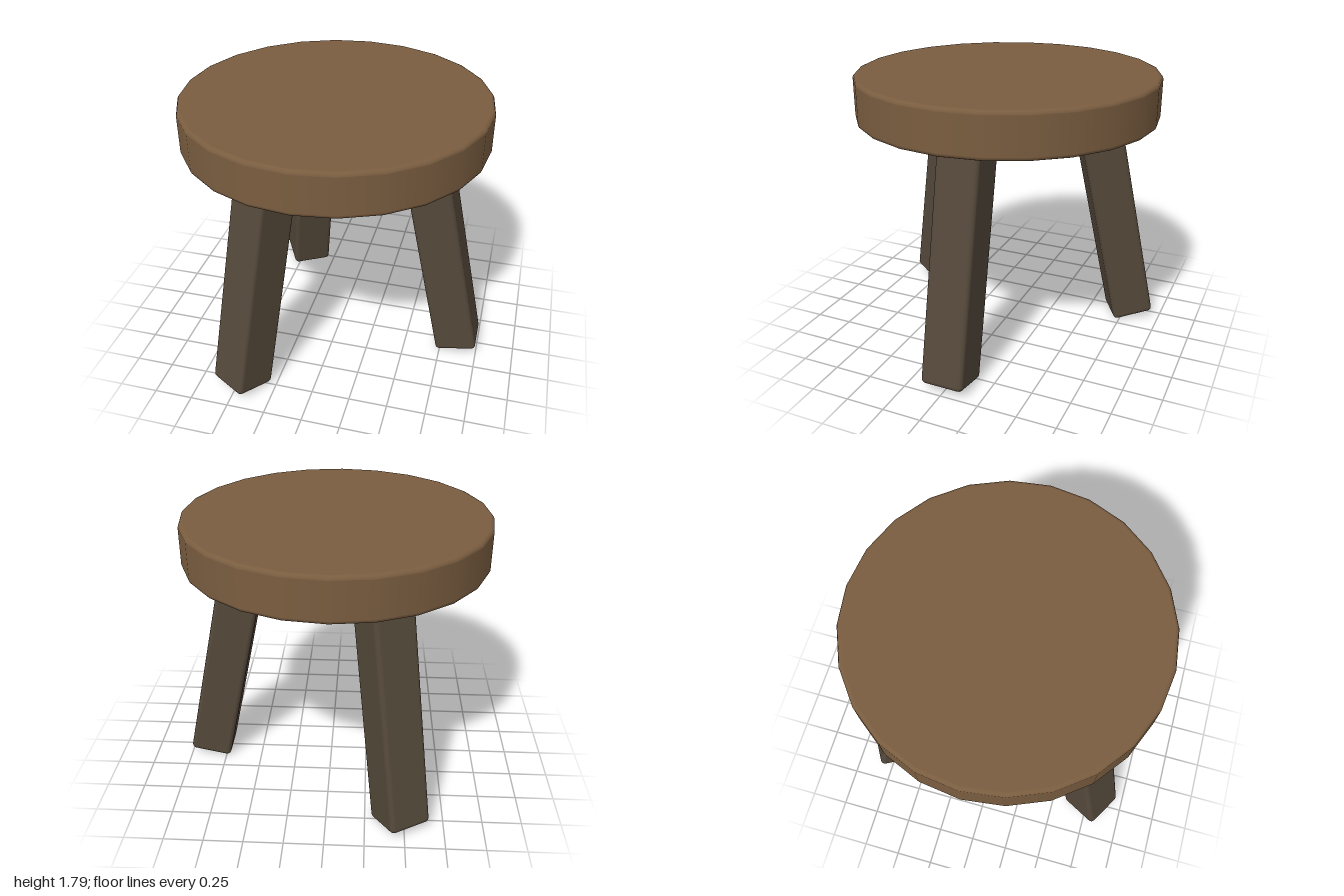
import * as THREE from 'three';
import { RoundedBoxGeometry } from 'three/addons/geometries/RoundedBoxGeometry.js';

const CENTRE_X = -0.03;
const TILT = THREE.MathUtils.degToRad(12);

export function createModel() {
  const seatWood = new THREE.MeshStandardMaterial({ color: 0x7a5d40 });
  seatWood.name = 'seatWood';
  const legWood = new THREE.MeshStandardMaterial({ color: 0x54483a });
  legWood.name = 'legWood';

  const stool = new THREE.Group();
  stool.name = 'stool';
  stool.position.x = CENTRE_X;

  // Seat: 24-sided disc with a small rounded rim; extra rings keep the flats flat
  const r = 0.97, bottom = 1.51, top = 1.79, b = 0.02;
  const profile = [
    [0, bottom], [r - b - 0.005, bottom], [r - b, bottom], [r - b * 0.3, bottom + b * 0.3],
    [r, bottom + b], [r, bottom + b + 0.005], [r, top - b - 0.005], [r, top - b],
    [r - b * 0.3, top - b * 0.3], [r - b, top], [r - b - 0.005, top], [0, top],
  ].map(([x, y]) => new THREE.Vector2(x, y));
  const seat = new THREE.Mesh(new THREE.LatheGeometry(profile, 24), seatWood);
  seat.name = 'seat';
  stool.add(seat);

  // Legs: three splayed square posts, their tops buried in the seat
  const length = 1.6;
  const legGeometry = new RoundedBoxGeometry(0.28, length, 0.28, 2, 0.03);
  legGeometry.translate(0, length / 2, 0);
  legGeometry.rotateZ(TILT);
  legGeometry.translate(0.892, 0.023, 0);
  ['leftLeg', 'backRightLeg', 'frontRightLeg'].forEach((name, i) => {
    const leg = new THREE.Mesh(legGeometry, legWood);
    leg.name = name;
    leg.rotation.y = (i * Math.PI * 2) / 3;
    stool.add(leg);
  });

  const model = new THREE.Group();
  model.name = 'threeLeggedStool';
  model.add(stool);
  return model;
}
